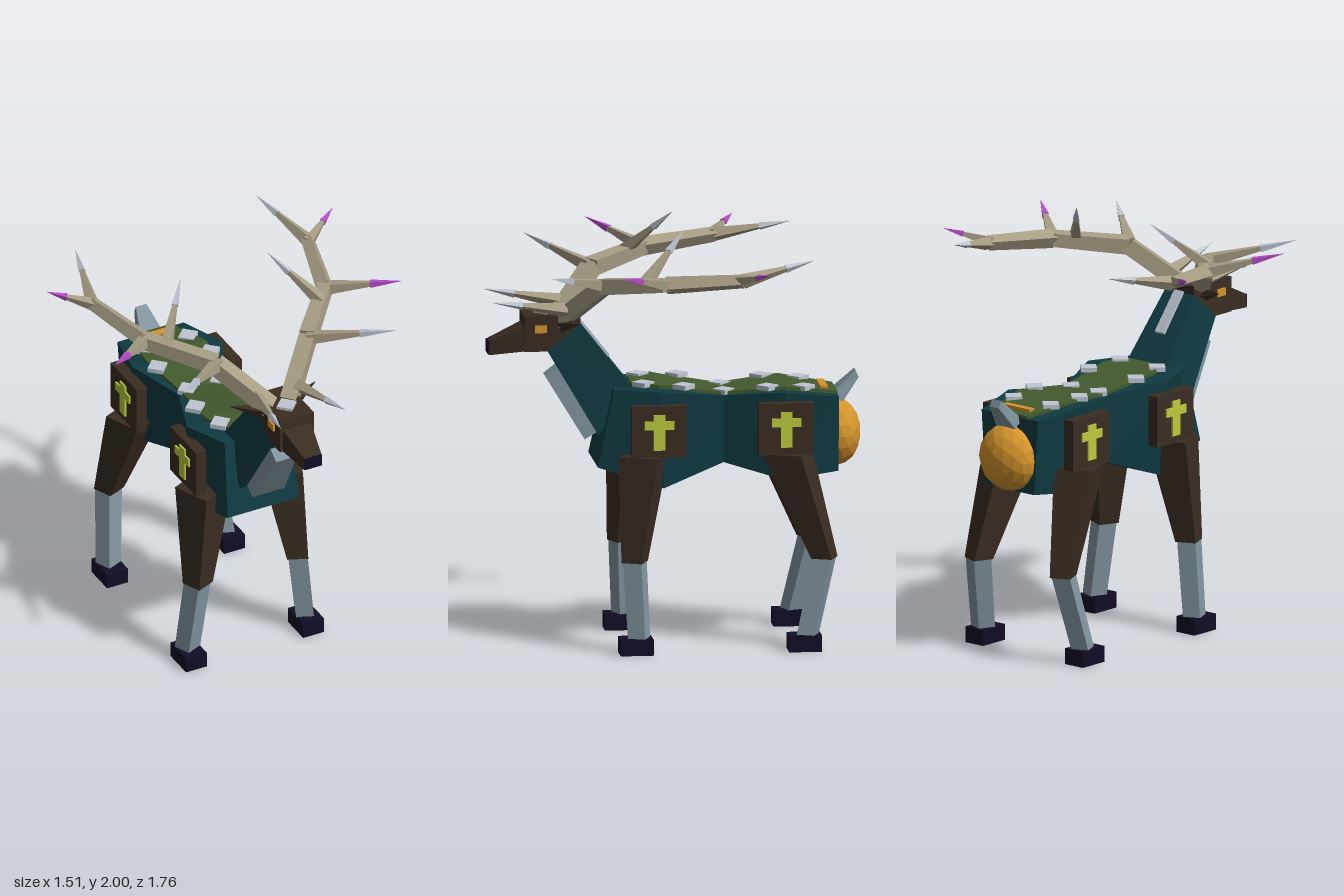
import * as THREE from 'three';

const mat = (name, hex) => {
  const m = new THREE.MeshStandardMaterial({ color: hex });
  m.name = name;
  return m;
};

// faceted normals for any geometry
function facet(geo) {
  const g = geo.index ? geo.toNonIndexed() : geo;
  g.computeVertexNormals();
  return g;
}

// closed solid through rings of equal point count, wound outwards
function loft(rings) {
  const n = rings[0].length, tris = [];
  const tri = (a, b, c) => tris.push([a, b, c]);
  for (let i = 0; i < rings.length - 1; i++) {
    for (let j = 0; j < n; j++) {
      const k = (j + 1) % n, A = rings[i], B = rings[i + 1];
      tri(A[j], A[k], B[k]);
      tri(A[j], B[k], B[j]);
    }
  }
  const last = rings[rings.length - 1];
  for (let j = 1; j < n - 1; j++) {
    tri(rings[0][0], rings[0][j + 1], rings[0][j]);
    tri(last[0], last[j], last[j + 1]);
  }
  const v = p => new THREE.Vector3(...p);
  const volume = tris.reduce((s, [a, b, c]) => s + v(a).dot(v(b).cross(v(c))), 0);
  const pos = tris.flatMap(([a, b, c]) => (volume < 0 ? [a, c, b] : [a, b, c])).flat();
  const g = new THREE.BufferGeometry();
  g.setAttribute('position', new THREE.Float32BufferAttribute(pos, 3));
  g.computeVertexNormals();
  return g;
}

// upright ring across the body; top and bottom edges may sit at different z
const across = (zTop, wTop, yTop, zBot, wBot, yBot) =>
  [[-wTop, yTop, zTop], [wTop, yTop, zTop], [wBot, yBot, zBot], [-wBot, yBot, zBot]];

// level square ring turned about y
const level = (x, y, z, hx, hz, yaw) =>
  [[-1, -1], [1, -1], [1, 1], [-1, 1]].map(([a, b]) => [
    x + a * hx * Math.cos(yaw) + b * hz * Math.sin(yaw), y,
    z - a * hx * Math.sin(yaw) + b * hz * Math.cos(yaw)]);

// four-sided bar between two points
function bar(a, b, ra, rb) {
  const A = new THREE.Vector3(...a), B = new THREE.Vector3(...b), d = B.clone().sub(A);
  const g = new THREE.CylinderGeometry(rb, ra, d.length(), 4);
  g.applyQuaternion(new THREE.Quaternion().setFromUnitVectors(new THREE.Vector3(0, 1, 0), d.normalize()));
  g.translate(...A.add(B).multiplyScalar(0.5).toArray());
  return facet(g);
}

const block = (w, h, d, x, y, z) => facet(new THREE.BoxGeometry(w, h, d).translate(x, y, z));
const mix = (a, b, t) => a.map((v, i) => v + (b[i] - v) * t);

export function createModel() {
  const model = new THREE.Group();
  model.name = 'stag';
  const teal = mat('teal hide', 0x0f3b42), brown = mat('dark brown', 0x3a2d22),
    green = mat('moss green', 0x435a2d), steel = mat('blue grey', 0x80949e),
    silver = mat('pale silver', 0xbec6d2), bone = mat('antler bone', 0xa69d84),
    purple = mat('purple', 0xb84ccb), orange = mat('amber', 0xd4942c),
    lime = mat('lime', 0xbccb3c), navy = mat('hoof navy', 0x110d26);
  const add = (name, geo, material, parent = model) => {
    const m = new THREE.Mesh(geo, material);
    m.name = name;
    parent.add(m);
    return m;
  };

  // body: haunch and chest meeting at a pinched waist
  const waist = across(-0.22, 0.135, 1.19, -0.22, 0.13, 0.87);
  add('haunch', loft([
    across(-0.76, 0.175, 1.18, -0.76, 0.15, 0.82),
    across(-0.5, 0.235, 1.215, -0.5, 0.19, 0.79), waist]), teal);
  add('chest', loft([waist,
    across(0.09, 0.255, 1.235, 0.07, 0.2, 0.765),
    across(0.3, 0.165, 1.235, 0.38, 0.19, 0.87)]), teal);

  // moss saddle plates along the back
  const back = [[-0.76, 0.11, 1.18], [-0.51, 0.165, 1.217], [-0.22, 0.12, 1.19],
    [0.09, 0.155, 1.237], [0.21, 0.1, 1.237]];
  for (let i = 0; i < 4; i++) {
    const [p, q] = [back[i], back[i + 1]];
    add('backPlate', loft([p, q].map(([z, w, y]) => across(z, w, y + 0.014, z, w, y - 0.02))), green);
  }

  // diamond studs in pairs, plus one on the crown
  const studs = [[0.115, 1.218, -0.6], [0.14, 1.226, -0.425], [0.085, 1.203, -0.225],
    [0.147, 1.24, -0.03], [0.115, 1.25, 0.158]];
  const stud = (x, y, z) => {
    const m = add('diamondStud', facet(new THREE.BoxGeometry(0.075, 0.022, 0.075)), silver);
    m.position.set(x, y, z);
    m.rotation.y = Math.PI / 4;
  };
  studs.forEach(([x, y, z]) => { stud(x, y, z); stud(-x, y, z); });
  stud(0, 1.583, 0.61);

  // rump details
  add('rumpBar', block(0.17, 0.02, 0.035, 0, 1.205, -0.7), orange);
  add('rumpBall', facet(new THREE.IcosahedronGeometry(0.16, 2).scale(0.98, 1, 0.72).translate(0, 0.98, -0.766)), orange);
  add('tail', loft([
    [[-0.06, 1.17, -0.74], [0.06, 1.17, -0.74], [0.06, 1.13, -0.79], [-0.06, 1.13, -0.79]],
    [[-0.028, 1.275, -0.855], [0.028, 1.275, -0.855], [0.028, 1.24, -0.87], [-0.028, 1.24, -0.87]]]), steel);

  // neck with breast shield and nape strip
  add('neck', loft([
    [[-0.12, 1.22, 0.2], [0.12, 1.22, 0.2], [0.12, 1.01, 0.37], [-0.12, 1.01, 0.37]],
    [[-0.09, 1.54, 0.45], [0.09, 1.54, 0.45], [0.09, 1.41, 0.605], [-0.09, 1.41, 0.605]]]), teal);
  add('breastShield', loft([
    [[-0.055, 1.325, 0.55], [0.055, 1.325, 0.55], [0.055, 1.28, 0.61], [-0.055, 1.28, 0.61]],
    [[-0.085, 1.025, 0.36], [0.085, 1.025, 0.36], [0.085, 0.985, 0.43], [-0.085, 0.985, 0.43]]]), steel);
  add('napeStrip', loft([
    [[-0.028, 1.55, 0.445], [0.028, 1.55, 0.445], [0.028, 1.52, 0.47], [-0.028, 1.52, 0.47]],
    [[-0.028, 1.375, 0.305], [0.028, 1.375, 0.305], [0.028, 1.345, 0.33], [-0.028, 1.345, 0.33]]]), silver);

  // head
  add('head', block(0.18, 0.17, 0.265, 0, 1.495, 0.583), brown);
  add('muzzle', loft([
    across(0.71, 0.075, 1.53, 0.71, 0.075, 1.41),
    across(0.875, 0.045, 1.455, 0.875, 0.045, 1.39)]), brown);
  add('nose', block(0.088, 0.06, 0.012, 0, 1.424, 0.876), navy);

  // paired parts
  const beam = [[0.05, 1.55, 0.54], [0.245, 1.745, 0.36], [0.475, 1.79, 0.09], [0.57, 1.82, -0.26]];
  const beamR = [0.055, 0.053, 0.046, 0.036];
  const tines = [ // base, tip, radius, tip material
    [[0.11, 1.61, 0.52], [0.17, 1.665, 0.875], 0.036, silver],
    [[0.24, 1.75, 0.37], [0.56, 1.85, 0.64], 0.038, silver],
    [[0.41, 1.79, 0.18], [0.23, 2.0, -0.02], 0.036, silver],
    [[0.475, 1.79, 0.09], [0.755, 1.88, 0.325], 0.038, purple],
    [[0.56, 1.82, -0.24], [0.755, 1.88, -0.365], 0.034, purple],
    [[0.57, 1.82, -0.26], [0.48, 1.893, -0.605], 0.036, silver]];
  for (const s of [1, -1]) {
    const flip = ([x, y, z]) => [s * x, y, z];
    const side = new THREE.Group();
    side.name = s > 0 ? 'leftSide' : 'rightSide';
    model.add(side);

    add('eye', block(0.012, 0.036, 0.055, s * 0.094, 1.518, 0.638), orange, side);
    add('ear', bar(flip([0.08, 1.53, 0.53]), flip([0.225, 1.565, 0.47]), 0.035, 0.002), brown, side);

    // antler beam and tines
    for (let i = 0; i < 3; i++)
      add('antlerBeam', bar(flip(beam[i]), flip(beam[i + 1]), beamR[i], beamR[i + 1]), bone, side);
    for (const [a, b, r, tip] of tines) {
      const m = mix(a, b, 0.6);
      add('tine', bar(flip(a), flip(m), r, r * 0.4), bone, side);
      add('tineTip', bar(flip(m), flip(b), r * 0.55, 0.001), tip, side);
    }

    // shoulder and hip panels with cross emblems
    for (const z of [0.1, -0.5]) {
      add('sidePanel', block(0.055, 0.245, 0.26, s * 0.252, 1.05, z), brown, side);
      add('crossUpright', block(0.009, 0.17, 0.055, s * 0.283, 1.048, z), lime, side);
      add('crossArm', block(0.009, 0.042, 0.14, s * 0.283, 1.082, z), lime, side);
    }

    // legs: [top x, y, z, half size], knee z, hoof z
    for (const [name, x, y, z, h, kneeZ, hoofZ] of [
      ['front', 0.205, 0.93, 0.165, 0.095, 0.215, 0.215],
      ['rear', 0.215, 0.93, -0.51, 0.095, -0.68, -0.58]]) {
      const yaw = -0.4 * s;
      add(name + 'Thigh', loft([
        level(s * x, y, z, h, h, yaw),
        level(s * 0.262, 0.43, kneeZ, 0.05, 0.05, yaw)]), brown, side);
      add(name + 'Shin', loft([
        level(s * 0.265, 0.435, kneeZ, 0.045, 0.045, yaw),
        level(s * 0.31, 0.07, hoofZ - 0.015, 0.042, 0.042, yaw)]), steel, side);
      add(name + 'Hoof', block(0.11, 0.077, 0.155, s * 0.31, 0.0385, hoofZ), navy, side);
    }
  }
  return model;
}
